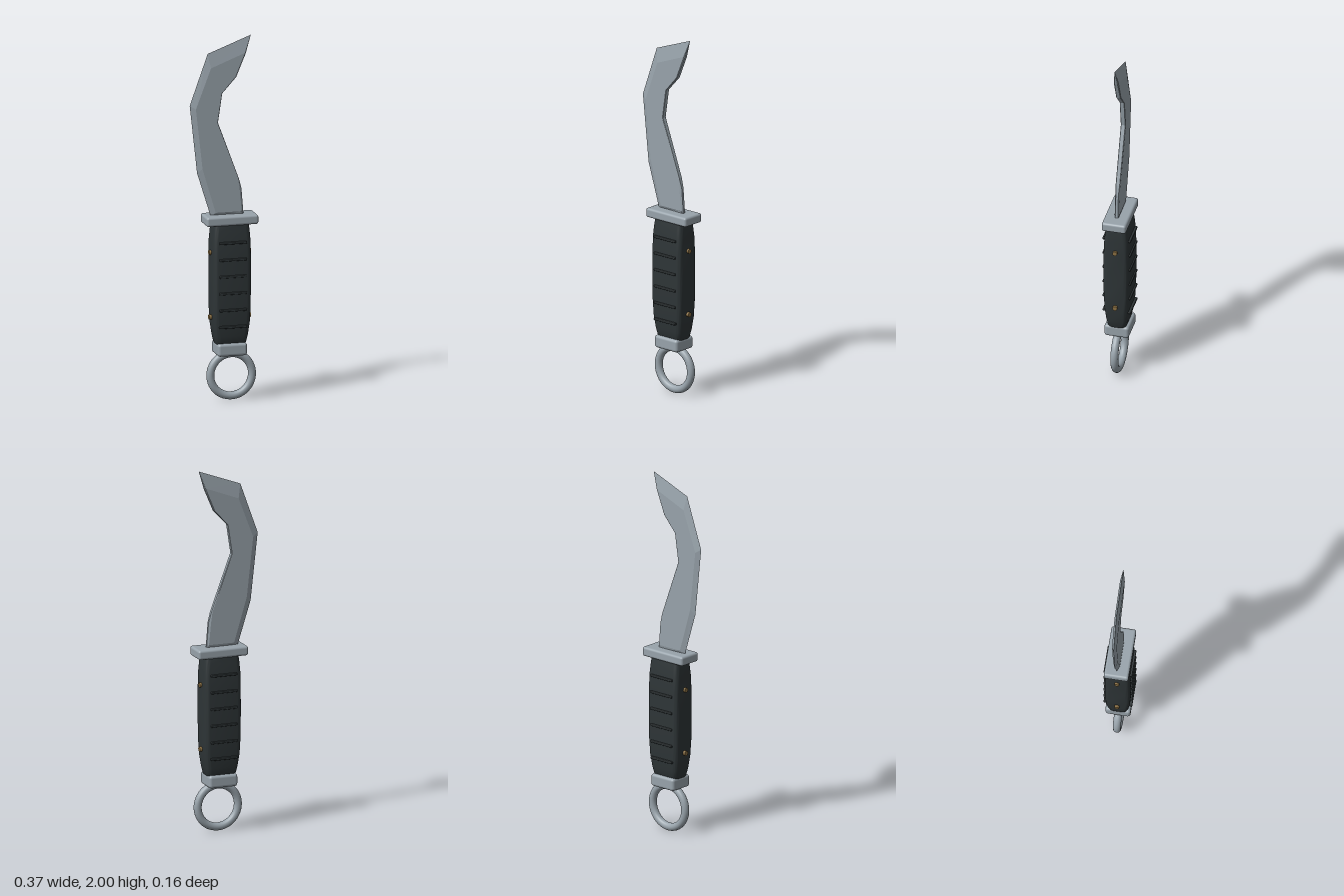
import * as THREE from 'three';
import { RoundedBoxGeometry } from 'three/addons/geometries/RoundedBoxGeometry.js';
import { toCreasedNormals } from 'three/addons/utils/BufferGeometryUtils.js';

const steel = new THREE.MeshStandardMaterial({ color: 0x98a3ab });
const grip = new THREE.MeshStandardMaterial({ color: 0x2e3537 });
const brass = new THREE.MeshStandardMaterial({ color: 0x8a6f42 });

function add(parent, name, geometry, material, x = 0, y = 0, z = 0) {
  const mesh = new THREE.Mesh(geometry, material);
  mesh.name = name;
  mesh.position.set(x, y, z);
  parent.add(mesh);
  return mesh;
}

// Blade: each entry is edge x, y, edge half thickness, then flat x, y (counter-clockwise)
function bladeGeometry() {
  const T = 0.013;
  const pts = [
    [0.112, 1.01, 0.007, 0.1, 1.035],
    [0.1, 1.16, 0.007, 0.088, 1.16],
    [0.085, 1.215, 0.01, 0.08, 1.215],
    [-0.032, 1.53, 0.011, -0.034, 1.53],
    [-0.008, 1.69, 0.011, -0.01, 1.69],
    [0.07, 1.775, 0.01, 0.067, 1.777],
    [0.123, 1.9, 0.008, 0.12, 1.905],
    [0.154, 2.0, 0, 0.12, 1.906],
    [-0.086, 1.91, 0, -0.071, 1.832],
    [-0.186, 1.63, 0, -0.155, 1.61],
    [-0.145, 1.257, 0, -0.118, 1.28],
    [-0.068, 1.01, 0, -0.045, 1.035],
  ];
  const out = [];
  const tri = (a, b, c) => out.push(...a, ...b, ...c);
  const quad = (a, b, c, d) => { tri(a, b, c); tri(a, c, d); };
  const flat = pts.map((p) => new THREE.Vector2(p[3], p[4]));
  const faces = THREE.ShapeUtils.triangulateShape(flat, []);
  for (const s of [1, -1]) {
    const inner = (i) => [pts[i][3], pts[i][4], s * T];
    const edge = (i) => [pts[i][0], pts[i][1], s * pts[i][2]];
    for (const [a, b, c] of faces) {
      if (s > 0) tri(inner(a), inner(b), inner(c));
      else tri(inner(a), inner(c), inner(b));
    }
    pts.forEach((_, i) => {
      const j = (i + 1) % pts.length;
      if (s > 0) quad(edge(i), edge(j), inner(j), inner(i));
      else quad(edge(j), edge(i), inner(i), inner(j));
    });
  }
  // blunt inner edge
  pts.forEach((p, i) => {
    const q = pts[(i + 1) % pts.length];
    if (p[2] + q[2] > 0) {
      quad([p[0], p[1], -p[2]], [q[0], q[1], -q[2]], [q[0], q[1], q[2]], [p[0], p[1], p[2]]);
    }
  });
  const g = new THREE.BufferGeometry();
  g.setAttribute('position', new THREE.Float32BufferAttribute(out, 3));
  g.computeVertexNormals();
  return g;
}

// Grip: rounded-rectangle sections (y, half width, half depth) lofted upwards
function gripGeometry() {
  const sections = [
    [0.305, 0.075, 0.044], [0.32, 0.083, 0.051], [0.36, 0.091, 0.058],
    [0.43, 0.1, 0.065], [0.52, 0.104, 0.069], [0.65, 0.105, 0.07],
    [0.8, 0.105, 0.069], [0.88, 0.104, 0.066], [0.94, 0.1, 0.06], [0.98, 0.096, 0.055],
  ];
  const corner = 6, ring = 4 * (corner + 1), pos = [], index = [];
  for (const [y, w, d] of sections) {
    const r = 0.026;
    for (let q = 0; q < 4; q++) {
      const sx = q === 0 || q === 3 ? 1 : -1, sz = q < 2 ? 1 : -1;
      for (let k = 0; k <= corner; k++) {
        const a = (q + k / corner) * Math.PI / 2;
        pos.push(sx * (w - r) + r * Math.cos(a), y, sz * (d - r) + r * Math.sin(a));
      }
    }
  }
  for (let s = 0; s < sections.length - 1; s++) {
    for (let i = 0; i < ring; i++) {
      const a = s * ring + i, b = s * ring + (i + 1) % ring;
      index.push(a, a + ring, b, b, a + ring, b + ring);
    }
  }
  const last = (sections.length - 1) * ring;
  for (let i = 1; i < ring - 1; i++) {
    index.push(0, i, i + 1, last, last + i + 1, last + i);
  }
  const g = new THREE.BufferGeometry();
  g.setAttribute('position', new THREE.Float32BufferAttribute(pos, 3));
  g.setIndex(index);
  return toCreasedNormals(g, 0.7);
}

export function createModel() {
  const model = new THREE.Group();
  model.name = 'ringKnife';
  const cx = 0.036;

  add(model, 'blade', bladeGeometry(), steel);
  add(model, 'guard', new RoundedBoxGeometry(0.288, 0.052, 0.134, 4, 0.013), steel, cx, 0.996);

  const handle = new THREE.Group();
  handle.name = 'handle';
  model.add(handle);
  add(handle, 'grip', gripGeometry(), grip, cx);

  // raised ribs on both faces
  const rib = new RoundedBoxGeometry(0.152, 0.013, 0.022, 2, 0.004);
  for (let i = 0; i < 6; i++) {
    for (const s of [1, -1]) {
      add(handle, 'gripRib', rib, grip, cx, 0.877 - i * 0.0925, s * 0.067);
    }
  }

  // rivets through the narrow sides
  const rivet = new THREE.CylinderGeometry(0.013, 0.013, 0.03, 16).rotateZ(Math.PI / 2);
  for (const y of [0.816, 0.46]) {
    for (const s of [1, -1]) add(handle, 'rivet', rivet, brass, cx + s * 0.101, y);
  }

  // pommel block and finger ring
  add(model, 'pommel', new RoundedBoxGeometry(0.164, 0.07, 0.136, 4, 0.016), steel, cx, 0.286);
  add(model, 'fingerRing', new THREE.TorusGeometry(0.116, 0.0215, 16, 56), steel, 0.0445, 0.1375);
  return model;
}
